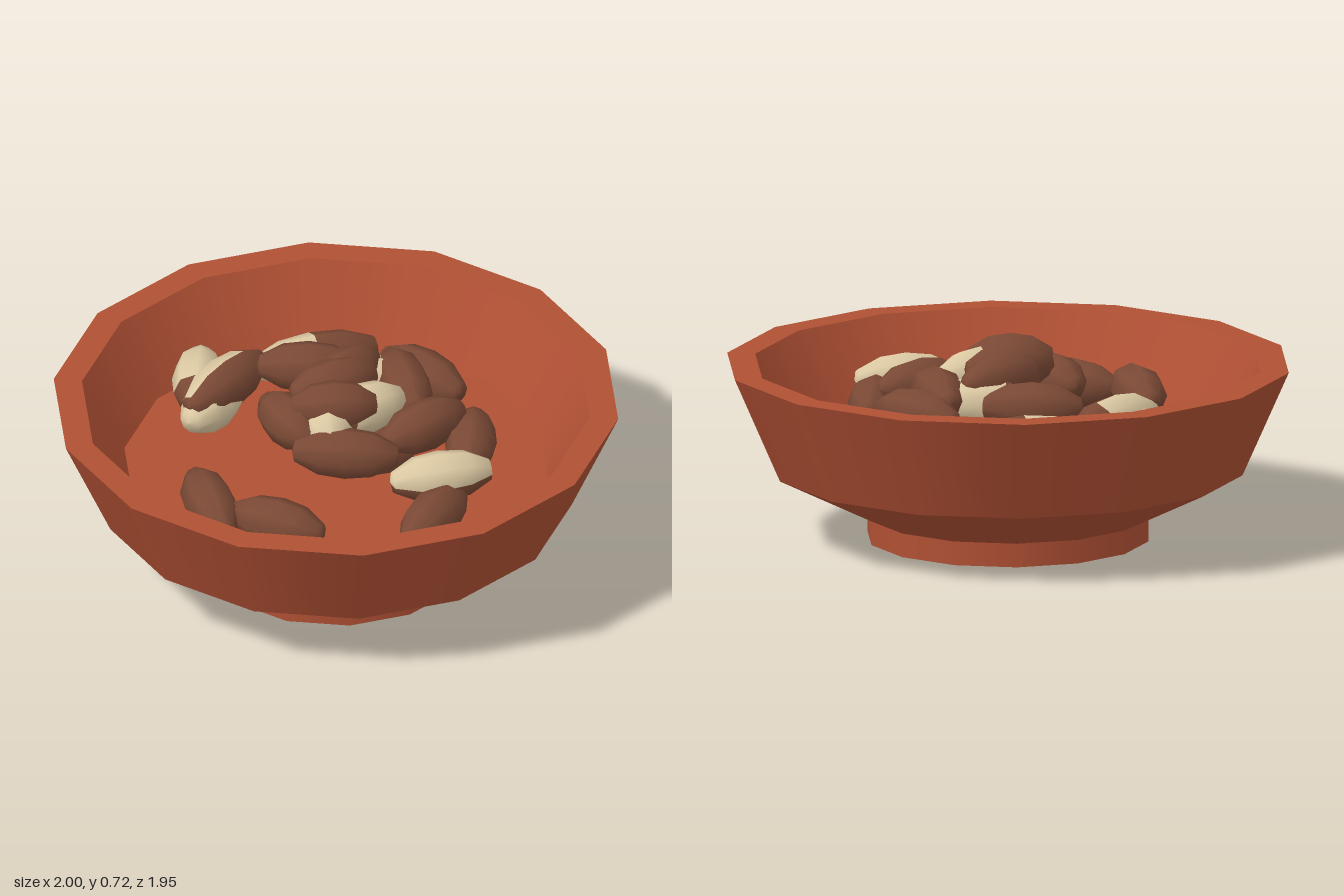
import * as THREE from 'three';

const mat = (name, color) => Object.assign(new THREE.MeshStandardMaterial({ color }), { name });

// Nut silhouette with blunt tips: radius and position along the axis, both relative
const NUT_PROFILE = [[0, -1], [0.42, -0.95], [0.88, -0.5], [1, 0], [0.88, 0.5], [0.42, 0.95], [0, 1]];
const NUT_RADIUS = 0.092;
const NUT_BANDS = NUT_PROFILE.length - 1;
const NUT_SIDES = 8;

// Peeled areas of a nut, by band along its axis and side around it (sides 2 to 5 face up)
const PEELS = {
  whole: () => true,
  top: (band, side) => side > 0 && side < 6,
  topStart: (band, side) => band < 4 && side > 0 && side < 6,
  flank: (band, side) => band > 0 && band < 4 && side < 4,
  start: (band) => band < 3,
  end: (band) => band > 1,
};

// Nuts: x, y, z, heading in degrees, half length, peeled area
const NUTS = [
  // loose at the front
  [-0.39, 0.44, 0.44, 24, 0.195],
  [-0.14, 0.44, 0.53, 72, 0.18],
  [0.4, 0.44, 0.42, -23, 0.18],
  [0.405, 0.5, 0.25, 112, 0.185, 'top'],
  // right side
  [0.475, 0.47, -0.02, 4, 0.18],
  [0.31, 0.54, 0, 137, 0.175],
  [0.26, 0.51, -0.37, 55, 0.185],
  [0.21, 0.56, -0.23, 23, 0.185],
  // back and left
  [-0.14, 0.46, -0.5, 116, 0.235, 'start'],
  [-0.14, 0.54, -0.32, 95, 0.18],
  [-0.53, 0.45, -0.32, 4, 0.175, 'topStart'],
  [-0.425, 0.49, -0.255, 149, 0.205, 'flank'],
  [-0.465, 0.44, -0.19, 155, 0.15, 'whole'],
  // heap in the middle
  [0.05, 0.54, -0.27, 96, 0.175, 'end'],
  [-0.01, 0.61, -0.17, 145, 0.185],
  [-0.02, 0.63, -0.09, 125, 0.165],
  [0.1, 0.59, -0.01, 129, 0.155, 'end'],
  [-0.16, 0.56, 0.06, 38, 0.155],
  [0, 0.63, 0.05, 101, 0.155],
  [-0.02, 0.57, 0.09, 14, 0.13, 'end'],
  [0.06, 0.53, 0.195, 92, 0.19],
];

function createNut([x, y, z, heading, half, peel], materials) {
  const points = NUT_PROFILE.map(([r, t]) => new THREE.Vector2(r * NUT_RADIUS, t * half));
  const geo = new THREE.LatheGeometry(points, NUT_SIDES);
  geo.rotateX(Math.PI / 2); // axis along z, side 0 underneath
  for (let s = 0; s < NUT_SIDES; s++) {
    for (let b = 0; b < NUT_BANDS; b++) {
      geo.addGroup(6 * (s * NUT_BANDS + b), 6, peel && PEELS[peel](b, s) ? 1 : 0);
    }
  }
  const mesh = new THREE.Mesh(geo, materials);
  mesh.name = 'nut';
  mesh.position.set(x, y, z);
  mesh.rotation.y = THREE.MathUtils.degToRad(heading);
  return mesh;
}

export function createModel() {
  const model = new THREE.Group();
  model.name = 'bowlOfNuts';
  const clay = mat('terracotta', 0xb05034);
  const skin = mat('nutSkin', 0x7a4935);
  const kernel = mat('nutKernel', 0xdcc9a3);

  // Bowl: each profile step is its own ring, so the edges between rings stay sharp
  const bowl = new THREE.Group();
  bowl.name = 'bowl';
  const profile = [[0, 0], [0.5, 0], [0.5, 0.085], [0.835, 0.25], [1, 0.625], [0.9, 0.625], [0.75, 0.355], [0, 0.355]];
  const names = ['base', 'foot', 'lowerWall', 'upperWall', 'rim', 'innerWall', 'floor'];
  names.forEach((name, i) => {
    const pts = [profile[i], profile[i + 1]].map(([r, y]) => new THREE.Vector2(r, y));
    const ring = new THREE.Mesh(new THREE.LatheGeometry(pts, 14, Math.PI / 2), clay);
    ring.name = name;
    bowl.add(ring);
  });
  model.add(bowl);

  // Nuts heaped in the bowl
  const nuts = new THREE.Group();
  nuts.name = 'nuts';
  NUTS.forEach((n) => nuts.add(createNut(n, [skin, kernel])));
  // Ring of nuts on the floor that carries the heap
  for (let i = 0; i < 4; i++) {
    const a = (i / 4) * Math.PI * 2 + 0.6;
    const x = 0.06 + Math.sin(a) * 0.11;
    const z = -0.06 + Math.cos(a) * 0.11;
    nuts.add(createNut([x, 0.44, z, 90 * i + 100, 0.16], [skin, kernel]));
  }
  model.add(nuts);
  return model;
}
